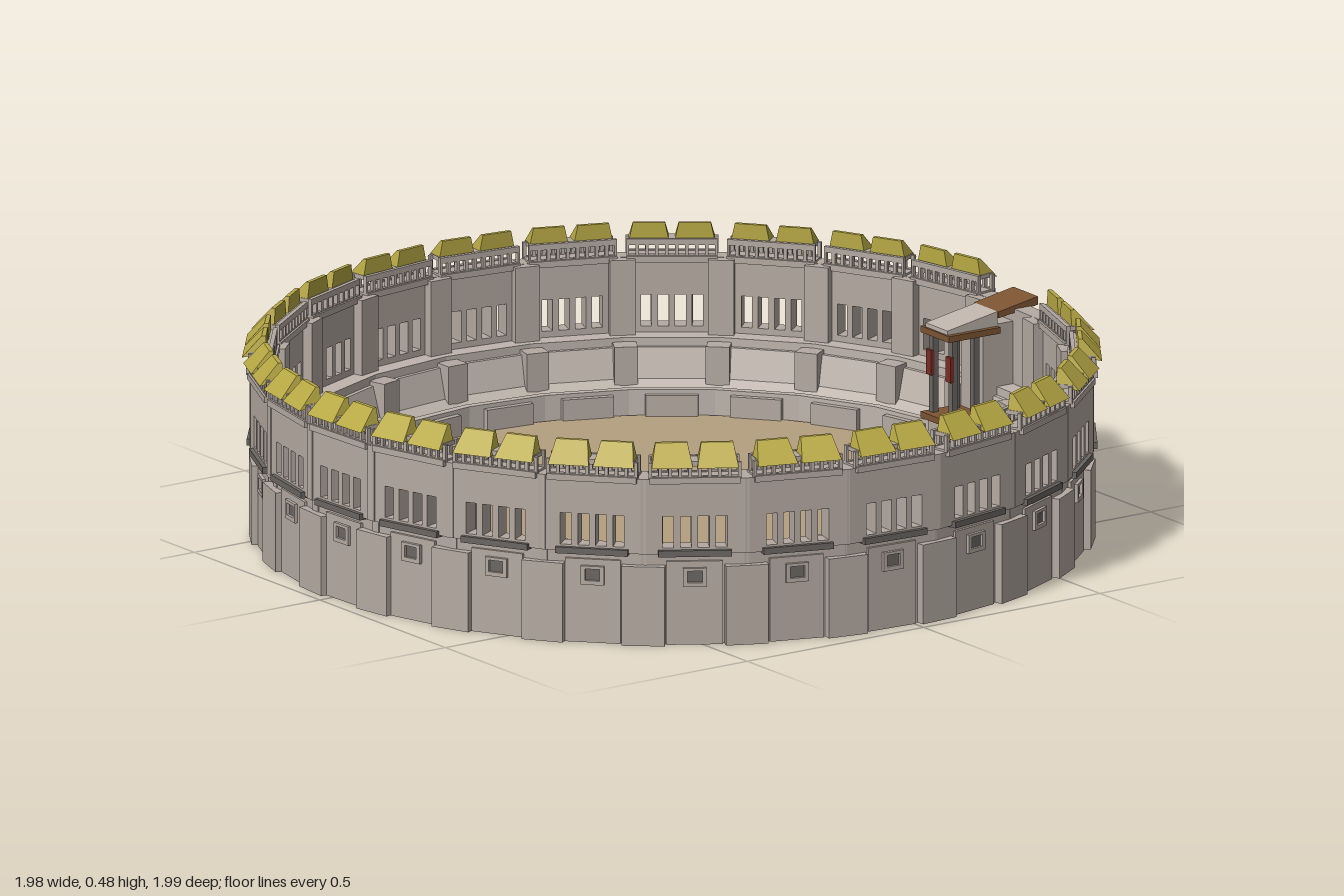
import * as THREE from 'three';

const COUNT = 25;
const mat = (color) => new THREE.MeshStandardMaterial({ color, flatShading: true });
const stone = mat(0xb5aaa2), paleStone = mat(0xbfb5ad), darkStone = mat(0x6a6663);
const yellow = mat(0xb8a945), brown = mat(0x7d5433), red = mat(0x7a2c24), sand = mat(0xb5a081);

function add(group, name, geometry, material) {
  const mesh = new THREE.Mesh(geometry, material);
  mesh.name = name;
  group.add(mesh);
  return mesh;
}

// Box given by its lower and upper limits: x centre and width, y range, radial (z) range
function block(x, w, y0, y1, r0, r1) {
  return new THREE.BoxGeometry(w, y1 - y0, r1 - r0).translate(x, (y0 + y1) / 2, (r0 + r1) / 2);
}

// Radial cross-section (radius, height) extruded along the tangent
function section(points, width, x = 0) {
  const shape = new THREE.Shape(points.map(([r, y]) => new THREE.Vector2(r, y)));
  return new THREE.ExtrudeGeometry(shape, { depth: width, bevelEnabled: false })
    .rotateY(-Math.PI / 2).translate(width / 2 + x, 0, 0);
}

// Narrow a piece towards the arena centre so neighbours meet
function wedge(geometry) {
  const p = geometry.attributes.position;
  for (let i = 0; i < p.count; i++) p.setX(i, p.getX(i) * p.getZ(i) / 0.96);
  geometry.computeVertexNormals();
  return geometry;
}

// Flat wall with a row of rectangular openings
function piercedWall(w, y0, y1, r0, r1, n, pitch, holeW, h0, h1) {
  const rect = (C, x0, x1, a, b) => new C([[x0, a], [x1, a], [x1, b], [x0, b]].map(([x, y]) => new THREE.Vector2(x, y)));
  const shape = rect(THREE.Shape, -w / 2, w / 2, y0, y1);
  for (let i = 0; i < n; i++) {
    const x = (i - (n - 1) / 2) * pitch;
    shape.holes.push(rect(THREE.Path, x - holeW / 2, x + holeW / 2, h0, h1));
  }
  return new THREE.ExtrudeGeometry(shape, { depth: r1 - r0, bevelEnabled: false }).translate(0, 0, r0);
}

// Hipped roof piece, narrower at the ridge
function roofPiece(x) {
  const g = section([[0.99, 0.43], [0.945, 0.48], [0.935, 0.48], [0.935, 0.44]], 0.096);
  const p = g.attributes.position;
  for (let i = 0; i < p.count; i++) p.setX(i, p.getX(i) * (1 - (p.getY(i) - 0.43) * 4.5) + x);
  g.computeVertexNormals();
  return g;
}

export function createModel() {
  const arena = new THREE.Group();
  arena.name = 'arena';

  const W = 0.25;
  const parts = {
    seating: wedge(section([[0.79, 0], [0.79, 0.12], [0.81, 0.12], [0.81, 0.1], [0.85, 0.13],
      [0.87, 0.2], [0.88, 0.2], [0.88, 0.22], [0.93, 0.22], [0.93, 0]], W)),
    barrierBlock: wedge(block(0, 0.15, 0, 0.11, 0.775, 0.8)),
    lowerWall: wedge(block(0, W, 0, 0.22, 0.92, 0.955)),
    windowWall: wedge(piercedWall(W, 0.22, 0.4, 0.925, 0.97, 4, 0.041, 0.026, 0.235, 0.31)),
    solidWall: wedge(block(0, W, 0.22, 0.4, 0.925, 0.97)),
    sill: block(0, 0.17, 0.215, 0.23, 0.95, 0.98),
    nichePanel: block(0, 0.13, 0, 0.2, 0.95, 0.962),
    nicheFrame: piercedWall(0.055, 0.14, 0.185, 0.96, 0.97, 1, 0, 0.035, 0.15, 0.178),
    niche: block(0, 0.04, 0.148, 0.18, 0.961, 0.963),
    buttress: block(0, 0.1, 0, 0.19, 0.94, 0.977),
    seatPier: block(0, 0.055, 0.08, 0.21, 0.84, 0.89),
    innerPier: block(0, 0.06, 0.22, 0.4, 0.905, 0.93),
    outerArcade: piercedWall(0.215, 0.4, 0.44, 0.965, 0.975, 9, 0.023, 0.015, 0.407, 0.431),
    innerArcade: piercedWall(0.21, 0.4, 0.445, 0.92, 0.93, 9, 0.023, 0.015, 0.407, 0.431),
    arcadeFloor: block(0, 0.21, 0.39, 0.405, 0.915, 0.98),
    arcadeCeiling: block(0, 0.2, 0.433, 0.443, 0.92, 0.975),
    leftRoof: roofPiece(0.053),
    rightRoof: roofPiece(-0.053),
  };
  const mats = { leftRoof: yellow, rightRoof: yellow, niche: darkStone, seating: paleStone, sill: darkStone };

  const common = ['seating', 'barrierBlock', 'lowerWall'];
  const bay = [...common, 'windowWall', 'sill', 'nichePanel', 'nicheFrame', 'niche', 'outerArcade',
    'innerArcade', 'arcadeFloor', 'arcadeCeiling', 'leftRoof', 'rightRoof'];
  const pier = ['buttress', 'seatPier', 'innerPier'];

  // Angle of a bay from +x towards +z; the bays are spaced a little wider beside the gate
  const angle = (i) => {
    const spread = i > 0 && i < 14 ? 4.3 * Math.sin(Math.PI * i / 14) : 0;
    return THREE.MathUtils.degToRad(3 + i * 360 / COUNT + spread);
  };
  const ringGroup = (name, theta) => {
    const g = new THREE.Group();
    g.name = name;
    g.rotation.y = Math.PI / 2 - theta;
    arena.add(g);
    return g;
  };

  // Ring of bays with a pier at every joint
  for (let i = 0; i < COUNT; i++) {
    const g = ringGroup(i ? 'bay' : 'gateBay', angle(i));
    for (const name of i ? bay : [...common, 'solidWall']) add(g, name, parts[name], mats[name] || stone);
    const joint = ringGroup('joint', (angle(i) + (i === COUNT - 1 ? angle(0) + 2 * Math.PI : angle(i + 1))) / 2);
    for (const name of pier) add(joint, name, parts[name], stone);
  }

  // Arena floor
  add(arena, 'sandFloor', new THREE.CylinderGeometry(0.79, 0.79, 0.045, 75), sand).position.y = 0.0375;

  // Gate tower with its covered passage
  const gate = ringGroup('gateTower', THREE.MathUtils.degToRad(1));
  add(gate, 'gateSlab', block(0, 0.09, 0, 0.055, 0.74, 0.98), stone);
  add(gate, 'gatePlaque', block(0, 0.085, 0.285, 0.38, 0.96, 0.98), paleStone);
  add(gate, 'towerBase', block(0, 0.1, 0.05, 0.15, 0.75, 0.84), stone);
  add(gate, 'towerLedge', block(0, 0.115, 0.145, 0.16, 0.735, 0.85), brown);
  add(gate, 'towerBack', block(0, 0.09, 0.15, 0.37, 0.84, 0.93), stone);
  for (const x of [-0.04, 0.04]) {
    for (const r of [0.76, 0.82]) {
      add(gate, 'towerPost', block(x, 0.016, 0.16, 0.36, r - 0.008, r + 0.008), darkStone);
    }
    add(gate, 'redBanner', block(x, 0.02, 0.25, 0.31, 0.745, 0.755), red);
  }
  add(gate, 'towerBeam', block(0, 0.115, 0.35, 0.365, 0.735, 0.88), brown);
  add(gate, 'towerCanopy', section([[0.74, 0.365], [0.74, 0.375], [0.88, 0.4], [0.88, 0.365]], 0.09), paleStone);
  const roof = section([[0.88, 0.385], [0.88, 0.4], [0.99, 0.42], [0.99, 0.4]], 0.1);
  add(gate, 'gateRoof', roof, brown);

  return arena;
}
